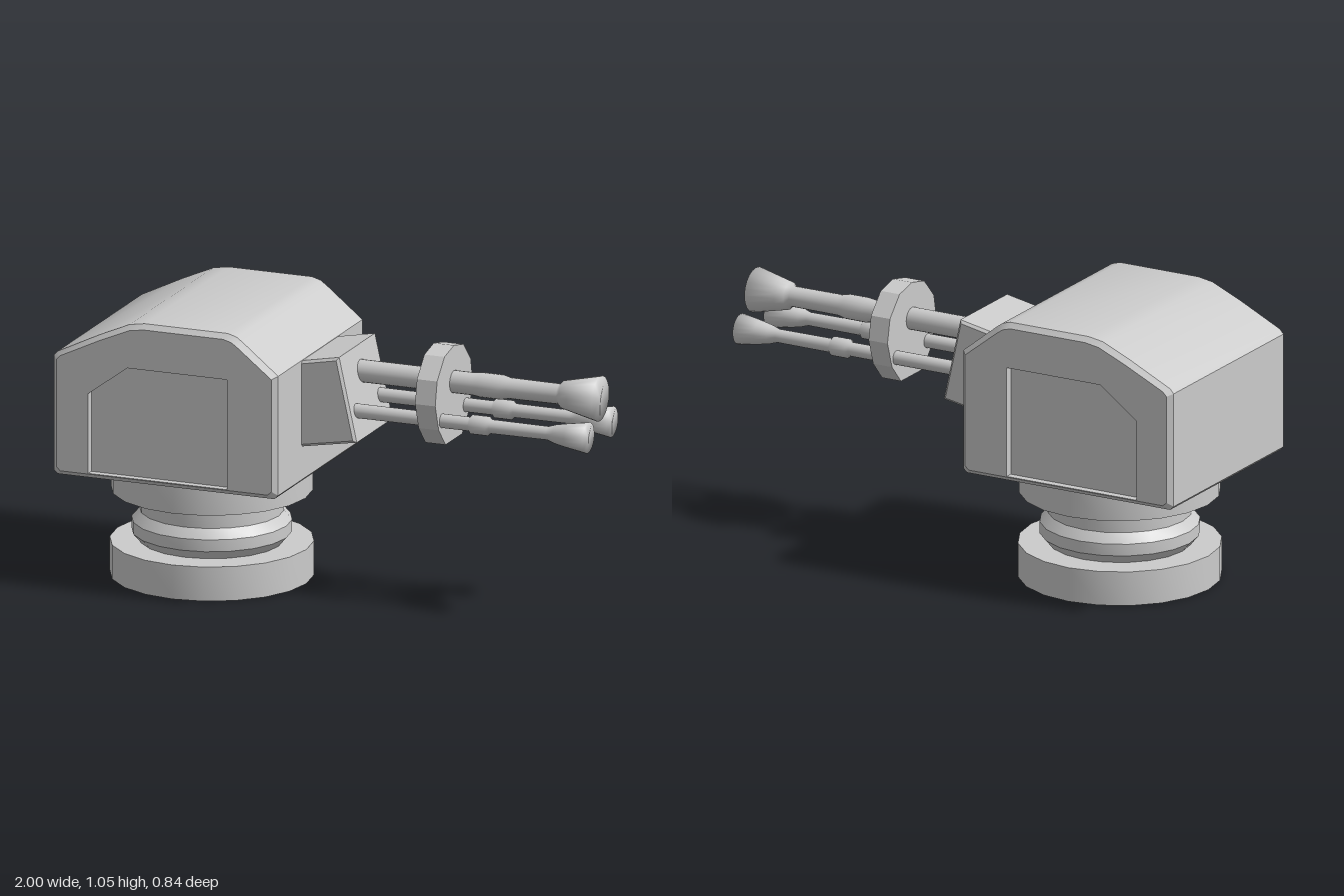
import * as THREE from 'three';
import { toCreasedNormals } from 'three/addons/utils/BufferGeometryUtils.js';

const material = new THREE.MeshStandardMaterial({ color: 0xcccccc });
const thinMaterial = new THREE.MeshStandardMaterial({ color: 0xcccccc, side: THREE.DoubleSide });

function add(parent, name, geometry, mat = material) {
  const mesh = new THREE.Mesh(geometry, mat);
  mesh.name = name;
  parent.add(mesh);
  return mesh;
}

const toShape = pts => new THREE.Shape(pts.map(p => new THREE.Vector2(p[0], p[1])));

// Joins equal-length closed outlines, each [points, z], into a band
function skin(rings) {
  const pos = [];
  const index = [];
  const n = rings[0][0].length;
  for (const [pts, z] of rings) for (const [x, y] of pts) pos.push(x, y, z);
  for (let r = 0; r < rings.length - 1; r++) {
    for (let i = 0; i < n; i++) {
      const a = r * n + i, b = r * n + (i + 1) % n;
      index.push(a, b, b + n, a, b + n, a + n);
    }
  }
  const g = new THREE.BufferGeometry();
  g.setAttribute('position', new THREE.Float32BufferAttribute(pos, 3));
  g.setIndex(index);
  return toCreasedNormals(g, 0.5);
}

// Barrel turned around the x axis from [radius, x] points
function barrel(parent, name, profile, y, z) {
  const pts = profile.map(([r, x]) => new THREE.Vector2(r, x));
  const mesh = add(parent, name, new THREE.LatheGeometry(pts, 20));
  mesh.rotation.z = -Math.PI / 2;
  mesh.position.set(0, y, z);
}

export function createModel() {
  const model = new THREE.Group();
  model.name = 'gunTurret';

  // Pedestal with foot, ring and upper collar
  const pedestal = [
    [0, 0], [0.375, 0], [0.375, 0.13], [0.265, 0.13], [0.295, 0.165], [0.295, 0.21],
    [0.265, 0.245], [0.265, 0.325], [0.371, 0.325], [0.371, 0.445], [0, 0.445],
  ].map(p => new THREE.Vector2(p[0], p[1]));
  const base = add(model, 'pedestal', toCreasedNormals(new THREE.LatheGeometry(pedestal, 20), 0.4));
  base.position.x = -0.54;

  // Housing: side outline, counter-clockwise, with chamfered rims
  const housing = new THREE.Group();
  housing.name = 'housing';
  model.add(housing);
  const outline = [
    [-0.985, 0.435], [-0.125, 0.435], [-0.11, 0.45], [-0.11, 0.905], [-0.25, 1.018],
    [-0.275, 1.036], [-0.31, 1.046], [-0.64, 1.046], [-0.70, 1.036], [-0.82, 0.983],
    [-0.985, 0.902], [-1, 0.885], [-1, 0.45],
  ];
  const inset = outline.map(([x, y]) => [-0.555 + (x + 0.555) * 0.957, 0.74 + (y - 0.74) * 0.94]);
  add(housing, 'housingShell', skin([[inset, -0.42], [outline, -0.4], [outline, 0.4], [inset, 0.42]]));

  // Both housing sides carry a recessed access panel
  const panel = [[-0.855, 0.456], [-0.305, 0.456], [-0.305, 0.875], [-0.7, 0.875], [-0.855, 0.76]];
  for (const side of [1, -1]) {
    const face = toShape(inset);
    face.holes.push(toShape(panel));
    const wall = add(housing, 'sideWall', new THREE.ShapeGeometry(face), thinMaterial);
    wall.position.z = 0.42 * side;
    const door = add(housing, 'recessedPanel', new THREE.ShapeGeometry(toShape(panel)), thinMaterial);
    door.position.z = 0.39 * side;
    add(housing, 'panelRim', skin([[panel, 0.42 * side], [panel, 0.39 * side]]), thinMaterial);
  }

  // Tilted gun mount
  const mount = toShape([[-0.2, 0.57], [-0.11, 0.586], [0.094, 0.622], [0.028, 0.92], [-0.11, 0.893], [-0.2, 0.875]]);
  const mountGeometry = new THREE.ExtrudeGeometry(mount, {
    depth: 0.34, bevelEnabled: true, bevelThickness: 0.01, bevelSize: 0.01, bevelSegments: 1,
  });
  add(model, 'gunMount', mountGeometry.translate(0, 0, -0.17));

  // Faceted brace plate around the barrels
  const half = [[0.09, 0.955], [0.16, 0.88], [0.178, 0.79], [0.145, 0.69], [0.08, 0.617]];
  const plate = toShape([[0, 0.975], ...half, ...half.map(([z, y]) => [-z, y]).reverse()]);
  const plateGeometry = new THREE.ExtrudeGeometry(plate, { depth: 0.08, bevelEnabled: false });
  add(model, 'bracePlate', plateGeometry.rotateY(Math.PI / 2).translate(0.34, 0, 0));

  // Large centre barrel and two small lower barrels
  barrel(model, 'mainBarrel', [
    [0.042, 0], [0.042, 0.5], [0.046, 0.53], [0.046, 0.61], [0.039, 0.64], [0.038, 0.84],
    [0.052, 0.855], [0.06, 0.89], [0.085, 1], [0, 1],
  ], 0.837, 0);
  for (const side of [1, -1]) {
    barrel(model, 'smallBarrel', [
      [0.027, 0], [0.026, 0.53], [0.036, 0.54], [0.036, 0.605], [0.026, 0.615], [0.025, 0.84],
      [0.035, 0.87], [0.045, 0.92], [0.058, 1], [0, 1],
    ], 0.718, 0.113 * side);
  }
  return model;
}
